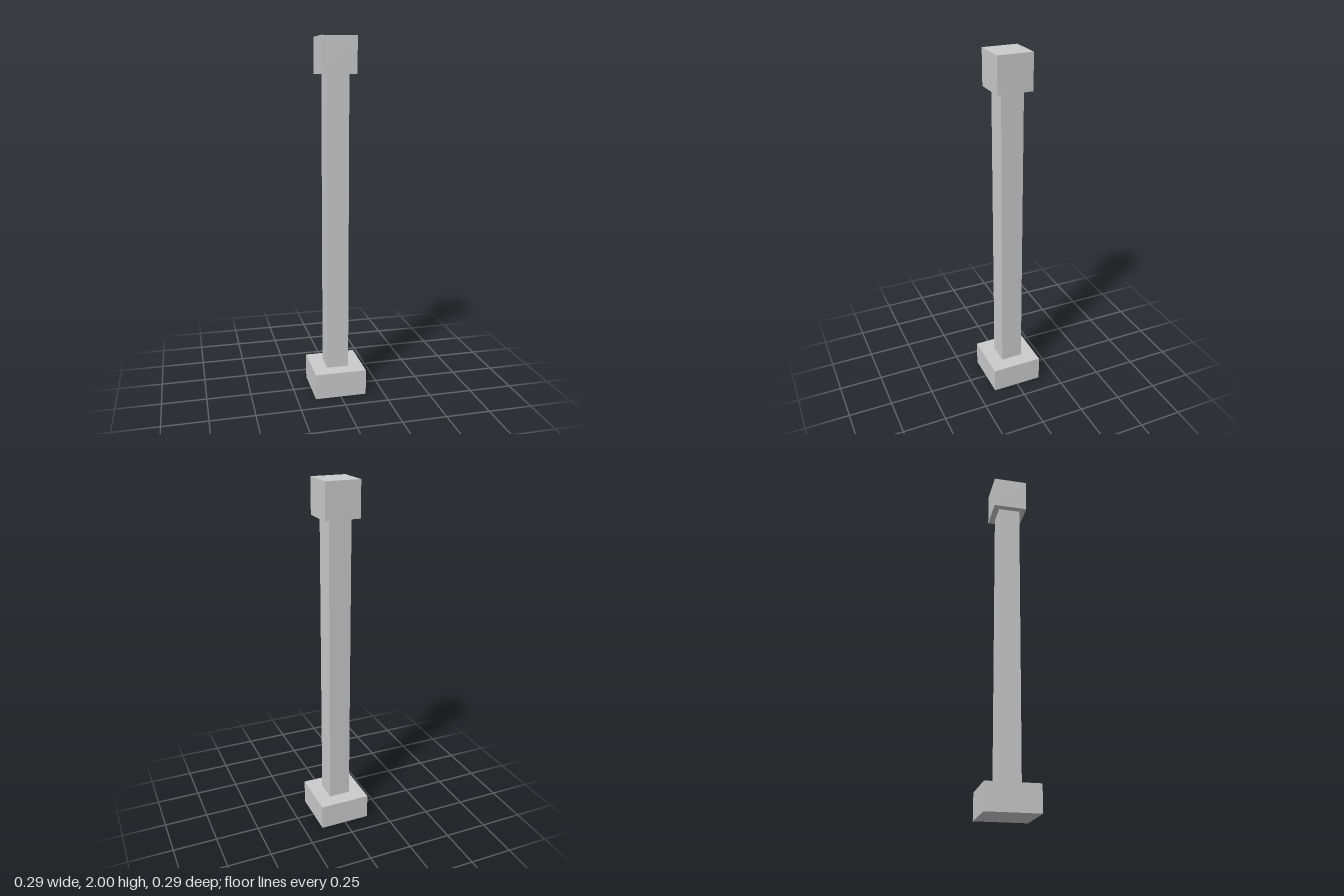
import * as THREE from 'three';

const material = new THREE.MeshStandardMaterial({ color: 0xcccccc, flatShading: true });

// Square block spanning bottom to top
function block(name, width, bottom, top) {
  const mesh = new THREE.Mesh(new THREE.BoxGeometry(width, top - bottom, width), material);
  mesh.name = name;
  mesh.position.y = (bottom + top) / 2;
  return mesh;
}

export function createModel() {
  const model = new THREE.Group();
  model.name = 'squarePillar';

  const baseTop = 0.146;
  const capBottom = 1.805;
  model.add(
    block('base', 0.293, 0, baseTop),
    block('shaft', 0.125, baseTop, capBottom),
    block('cap', 0.195, capBottom, 2),
  );
  return model;
}
